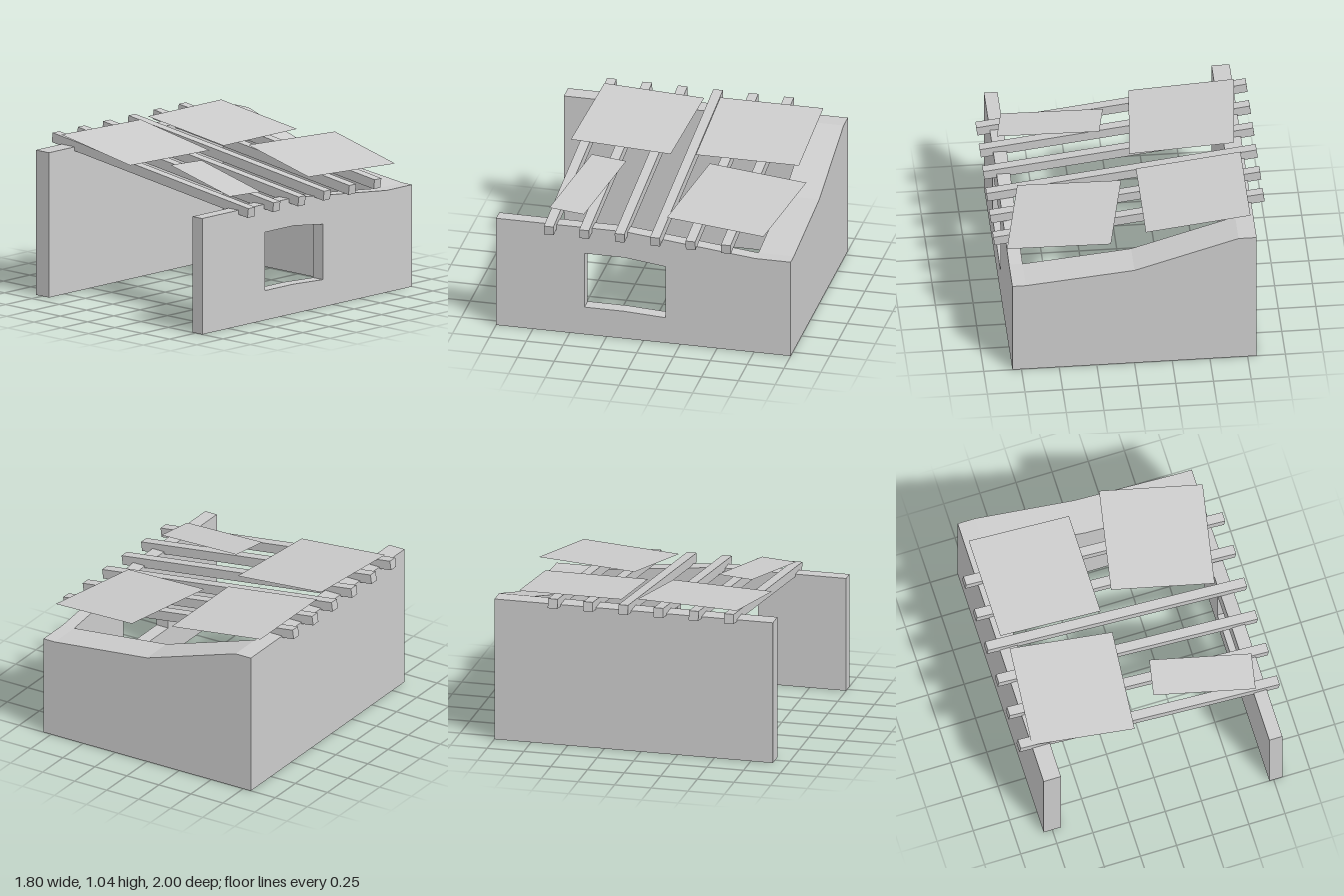
import * as THREE from 'three';

export function createModel() {
  const model = new THREE.Group();
  const material = new THREE.MeshStandardMaterial({ color: 0xcccccc, flatShading: true });
  const sheetMaterial = new THREE.MeshStandardMaterial({ color: 0xcccccc, side: THREE.DoubleSide });

  const add = (name, geometry, mat = material) => {
    const mesh = new THREE.Mesh(geometry, mat);
    mesh.name = name;
    model.add(mesh);
    return mesh;
  };
  const outline = (points) => points.map(([x, y]) => new THREE.Vector2(x, y));
  const extrude = (shape, depth) => new THREE.ExtrudeGeometry(shape, { depth, bevelEnabled: false });

  // Back wall with a broken, sagging top edge
  const backShape = new THREE.Shape(outline([
    [-0.81, 0], [0.81, 0], [0.81, 0.69], [0.72, 0.69], [0, 0.765], [-0.69, 0.98], [-0.81, 0.98],
  ]));
  add('backWall', extrude(backShape, 0.24)).position.z = -1;

  // Tall side wall
  add('tallSideWall', new THREE.BoxGeometry(0.12, 0.98, 1.66)).position.set(-0.75, 0.49, 0.07);

  // Low side wall with a window; the profile runs from front to back
  const lowShape = new THREE.Shape(outline([
    [-1, 0], [0.76, 0], [0.76, 0.69], [-0.12, 0.785], [-1, 0.785],
  ]));
  lowShape.holes.push(new THREE.Path(outline([
    [-0.4, 0.2], [-0.4, 0.595], [-0.13, 0.595], [0.15, 0.56], [0.15, 0.185], [-0.13, 0.2],
  ])));
  const lowWall = add('windowWall', extrude(lowShape, 0.09));
  lowWall.rotation.y = Math.PI / 2;
  lowWall.position.x = 0.72;

  // Sloping rafters
  const slope = -0.13;
  for (let i = 0; i < 6; i++) {
    const rafter = add('rafter', new THREE.BoxGeometry(1.807, 0.065, 0.065));
    rafter.rotation.z = slope;
    rafter.position.set(0, 0.895, 0.622 - i * 0.2405);
  }

  // Thin roof sheets lying askew: x, y, z, width, depth, yaw
  for (const [x, y, z, width, depth, yaw] of [
    [-0.437, 0.998, -0.49, 0.7, 0.7, 0],
    [0.424, 0.91, -0.54, 0.695, 0.7, -0.19],
    [-0.437, 0.998, 0.339, 0.7, 0.695, -0.09],
    [0.423, 0.91, 0.47, 0.685, 0.25, -0.19],
  ]) {
    const sheet = add('roofSheet', new THREE.PlaneGeometry(width, depth).rotateX(-Math.PI / 2), sheetMaterial);
    sheet.rotation.set(0, yaw, slope, 'YXZ');
    sheet.position.set(x, y, z);
  }

  return model;
}
